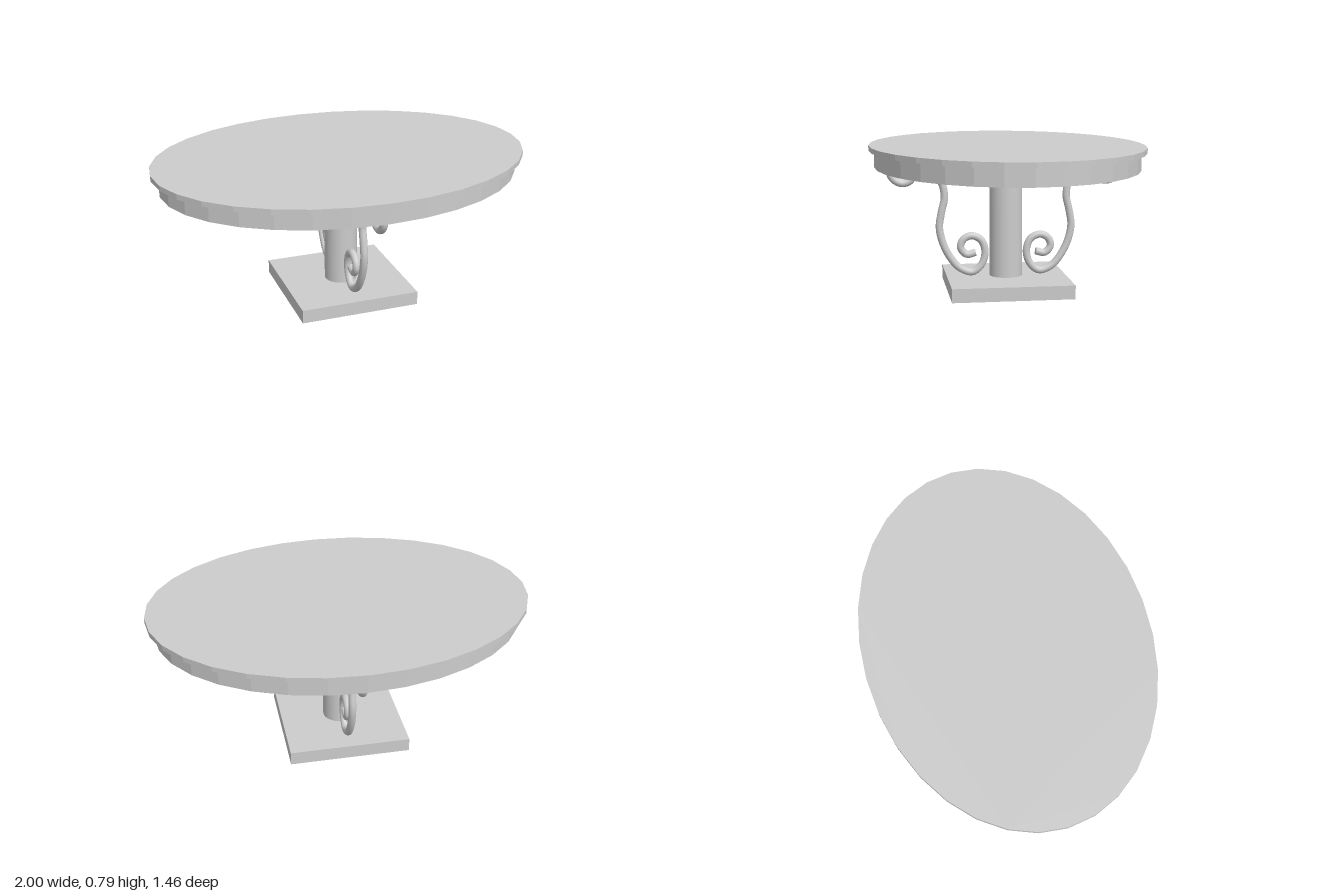
import * as THREE from 'three';

const gray = new THREE.MeshStandardMaterial({ color: 0xcccccc });
gray.name = 'plain gray';

function add(parent, geometry, name, y = 0) {
  const mesh = new THREE.Mesh(geometry, gray);
  mesh.name = name;
  mesh.position.y = y;
  parent.add(mesh);
  return mesh;
}

// 32-sided ellipse outline
function ellipse(rx, rz, sides = 32) {
  return Array.from({ length: sides }, (_, i) => {
    const a = (i / sides) * Math.PI * 2;
    return new THREE.Vector2(rx * Math.cos(a), rz * Math.sin(a));
  });
}

// Flat-sided elliptical slab standing on y = 0, optionally hollow
function slab(rx, rz, height, wall = 0) {
  const shape = new THREE.Shape(ellipse(rx, rz));
  if (wall) shape.holes.push(new THREE.Path(ellipse(rx - wall, rz - wall)));
  return new THREE.ExtrudeGeometry(shape, { depth: height, bevelEnabled: false }).rotateX(-Math.PI / 2);
}

// Scroll centreline as (z, y), from the lower curl to the upper curl
const scrollPath = [
  [0.164, 0.2], [0.214, 0.191], [0.246, 0.23], [0.23, 0.273], [0.187, 0.292], [0.136, 0.269],
  [0.113, 0.203], [0.133, 0.133], [0.183, 0.094], [0.25, 0.117], [0.304, 0.179], [0.343, 0.261],
  [0.359, 0.343], [0.347, 0.425], [0.331, 0.503], [0.347, 0.585], [0.409, 0.659], [0.468, 0.706],
  [0.538, 0.733], [0.596, 0.702], [0.62, 0.643], [0.596, 0.6], [0.55, 0.581], [0.507, 0.6],
  [0.499, 0.643], [0.53, 0.67], [0.569, 0.659],
];

function createScroll(name) {
  const scroll = new THREE.Group();
  scroll.name = name;
  const curve = new THREE.CatmullRomCurve3(scrollPath.map(([z, y]) => new THREE.Vector3(0, y, z)));
  const radius = 0.02;
  add(scroll, new THREE.TubeGeometry(curve, 160, radius, 16), 'scrollRod');
  // Flat caps on both ends
  for (const t of [0, 1]) {
    const cap = add(scroll, new THREE.CircleGeometry(radius, 16), 'scrollEnd');
    const outward = curve.getTangentAt(t).multiplyScalar(t ? 1 : -1);
    cap.position.copy(curve.getPointAt(t));
    cap.quaternion.setFromUnitVectors(new THREE.Vector3(0, 0, 1), outward);
  }
  return scroll;
}

export function createModel() {
  const table = new THREE.Group();
  table.name = 'ovalPedestalTable';

  // Top board and hollow apron
  add(table, slab(1, 0.728, 0.027), 'tableTop', 0.759);
  add(table, slab(0.96, 0.699, 0.09, 0.01), 'apron', 0.669);

  // Pedestal
  add(table, new THREE.BoxGeometry(0.643, 0.073, 0.643), 'base', 0.0365);
  add(table, new THREE.CylinderGeometry(0.088, 0.088, 0.688, 32), 'column', 0.416);

  // Scroll brackets in front of and behind the column
  table.add(createScroll('frontScroll'));
  const back = createScroll('backScroll');
  back.rotation.y = Math.PI;
  table.add(back);

  return table;
}
